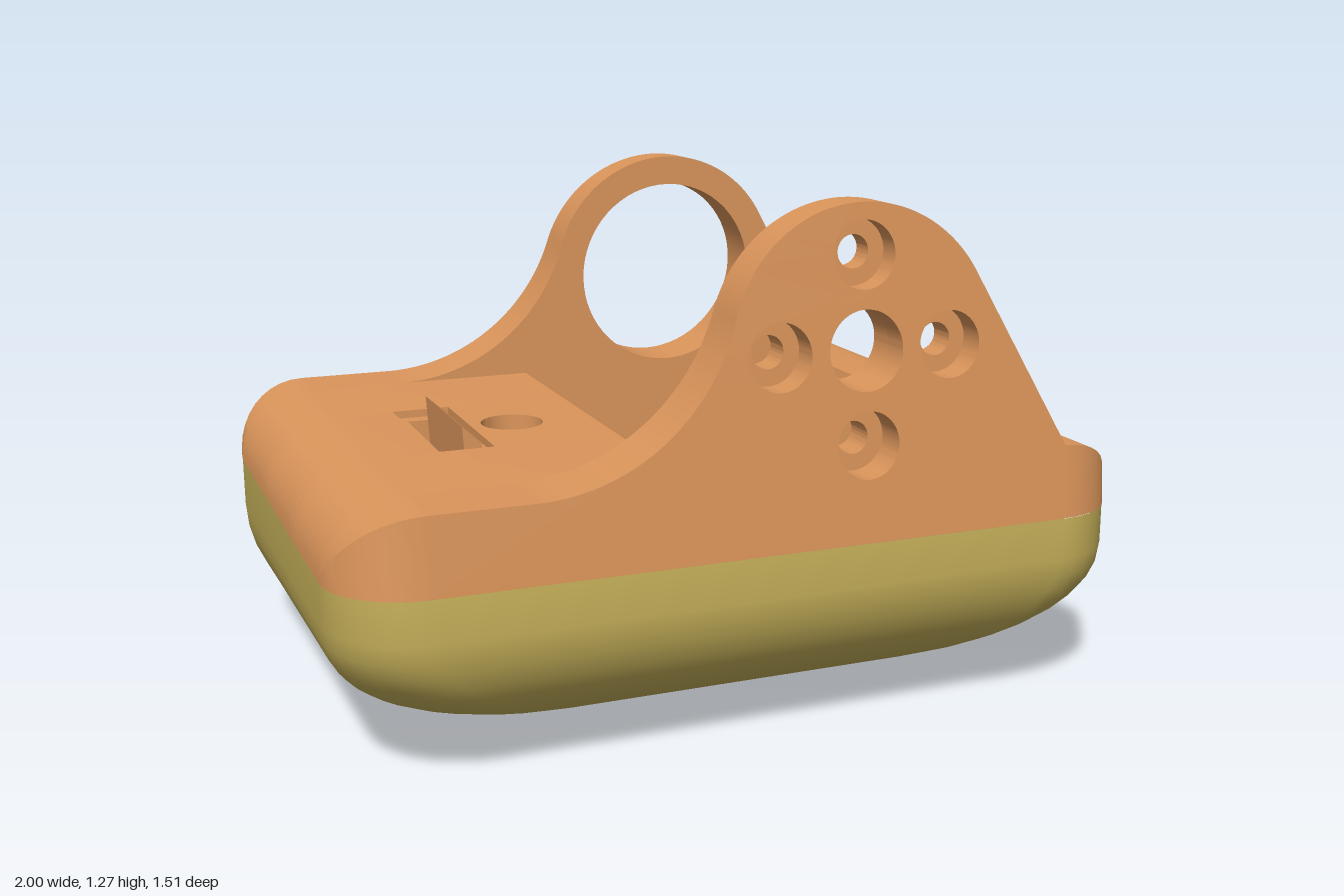
import * as THREE from 'three';
import { toCreasedNormals } from 'three/addons/utils/BufferGeometryUtils.js';

const SEAM = 0.48, TOP = 0.66, INNER = 0.55;   // seam height, deck height, inner face of brackets
const HUB = [0.26, 0.93];                      // centre of the bracket holes

export function createModel() {
  const model = new THREE.Group();
  const orange = new THREE.MeshStandardMaterial({ color: 0xdb955b });
  orange.name = 'orange';
  const olive = new THREE.MeshStandardMaterial({ color: 0xc2ad58 });
  olive.name = 'olive';

  const add = (name, geo, mat = orange, crease = 0.6) => {
    const mesh = new THREE.Mesh(toCreasedNormals(geo, crease), mat);
    mesh.name = name;
    model.add(mesh);
    return mesh;
  };

  // Surface through rows of points
  const loft = (rows, flip = false) => {
    const n = rows[0].length, idx = [];
    for (let i = 0; i < rows.length - 1; i++) for (let j = 0; j < n - 1; j++) {
      const a = i * n + j, b = a + n;
      if (flip) idx.push(a, b + 1, b, a, a + 1, b + 1);
      else idx.push(a, b, b + 1, a, b + 1, a + 1);
    }
    const geo = new THREE.BufferGeometry();
    geo.setAttribute('position', new THREE.Float32BufferAttribute(rows.flat(2), 3));
    geo.setIndex(idx);
    return geo;
  };

  // Side profile (x, y) extruded along z
  const slab = (pts, z0, z1) => {
    const shape = new THREE.Shape(pts.map(p => new THREE.Vector2(...p)));
    return new THREE.ExtrudeGeometry(shape, { depth: z1 - z0, bevelEnabled: false }).translate(0, 0, z0);
  };

  // Lower shell: rounded rectangles stacked upward, with a tilted underside
  const ring = (h, hx, hz, r) => {
    const pts = [];
    for (let k = 0; k < 4; k++) for (let s = 0; s <= 8; s++) {
      const a = (k + s / 8) * Math.PI / 2;
      const sx = k === 0 || k === 3 ? 1 : -1, sz = k < 2 ? 1 : -1;
      const x = sx * (hx - r) + r * Math.cos(a), z = sz * (hz - r) + r * Math.sin(a);
      pts.push([x, h + (0.045 + 0.09 * z) * (1 - h / SEAM), z]);
    }
    pts.push(pts[0]);
    return pts;
  };
  const levels = [ring(0, 0, 0, 0)];
  for (let i = 0; i <= 10; i++) {
    const t = i / 10 * Math.PI / 2, s = Math.sin(t);
    levels.push(ring(0.35 * (1 - Math.cos(t)), 0.6 + 0.4 * s, 0.5 + 0.257 * s, 0.32 - 0.1 * s));
  }
  levels.push(ring(SEAM, 1, 0.742, 0.2));
  add('lowerShell', loft(levels), olive, 1.0);

  // Upper deck: profile with rounded ends and a central pocket, cut into slices for the slots
  const arc = (sx, from) => {
    const pts = [];
    for (let i = 0; i <= 10; i++) {
      const t = from + (Math.PI / 2 - from) * i / 10;
      pts.push([sx * (0.8 + 0.2 * Math.sin(t)), SEAM + 0.18 * Math.cos(t)]);
    }
    return pts;
  };
  const pocket = [[-0.18, TOP], [-0.11, 0.42], [0.62, 0.42], [0.69, TOP]];
  const leftRecess = [[-0.65, TOP], [-0.65, 0.64], [-0.5, 0.64], [-0.5, TOP]];
  const leftSlot = [[-0.65, TOP], [-0.65, 0.64], [-0.62, 0.64], [-0.62, 0.55], [-0.52, 0.55], [-0.52, 0.64], [-0.5, 0.64], [-0.5, TOP]];
  const screwWell = [[-0.49, TOP], [-0.49, 0.54], [-0.29, 0.54], [-0.29, TOP]];
  const rightRecess = [[0.75, TOP], [0.75, 0.64]];
  const rightSlot = [[0.75, TOP], [0.75, 0.64], [0.76, 0.64], [0.76, 0.55], [0.86, 0.55], [0.86, 0.64]];
  const deck = (cuts, from) => [
    [-0.9, 0.38], ...arc(-1, 0).reverse(), ...cuts, ...arc(1, from), [0.9, 0.38]];
  const edge = Math.asin(0.45);
  const plain = deck(pocket, 0);
  const shallow = deck([...leftRecess, ...pocket, ...rightRecess], edge);
  const deep = deck([...leftSlot, ...screwWell, ...pocket, ...rightSlot], edge);
  add('deckMiddle', slab(deep, -0.18, 0.18));
  add('deckFrontRecess', slab(shallow, 0.18, 0.22));
  add('deckBackRecess', slab(shallow, -0.22, -0.18));
  add('deckFront', slab(plain, 0.22, INNER));
  add('deckBack', slab(plain, -INNER, -0.22));

  // Countersunk screw hole in the deck
  for (const [r, y0, y1] of [[0.08, 0.61, TOP], [0.04, 0.54, 0.61]]) {
    const s = new THREE.Shape([[-0.1, -0.18], [0.1, -0.18], [0.1, 0.18], [-0.1, 0.18]].map(p => new THREE.Vector2(...p)));
    s.holes.push(new THREE.Path().absarc(0, 0, r, 0, Math.PI * 2, true));
    const geo = new THREE.ExtrudeGeometry(s, { depth: y1 - y0, bevelEnabled: false, curveSegments: 24 });
    add('screwHole', geo.rotateX(-Math.PI / 2).translate(-0.39, y0, 0));
  }

  // Clip hooks standing in the slots
  add('leftClip', slab([[-0.56, 0.55], [-0.535, 0.55], [-0.52, 0.66], [-0.57, 0.705]], -0.18, 0.18));
  add('rightClip', slab([[0.8, 0.55], [0.825, 0.55], [0.815, 0.705], [0.79, 0.66]], -0.18, 0.18));

  // Brackets: upright plates whose outer faces lean inward
  const outerZ = y => 0.74 - (y - SEAM) * 0.112;
  const bracket = (holes, t0, t1) => {
    const s = new THREE.Shape();
    s.moveTo(-0.8, SEAM);
    s.lineTo(0.8, SEAM);
    s.lineTo(0.8, TOP);
    s.absarc(...HUB, 0.34, 0.51, 2.862, false);
    s.absarc(-0.55, 1.163, 0.503, -0.28, -Math.PI / 2, true);
    s.lineTo(-0.8, TOP);
    for (const [dx, dy, r] of holes)
      s.holes.push(new THREE.Path().absarc(HUB[0] + dx, HUB[1] + dy, r, 0, Math.PI * 2, true));
    const geo = new THREE.ExtrudeGeometry(s, { depth: 1, bevelEnabled: false, curveSegments: 32 });
    const p = geo.attributes.position;
    for (let i = 0; i < p.count; i++) {
      const t = t0 + (t1 - t0) * p.getZ(i);
      p.setZ(i, INNER + (outerZ(p.getY(i)) - INNER) * t);
    }
    return geo;
  };
  const around = r => [[0, 0, 0.095], ...[[0.22, 0], [-0.22, 0], [0, 0.22], [0, -0.22]].map(d => [...d, r])];
  add('frontBracketInner', bracket(around(0.04), 0, 0.5));
  add('frontBracketOuter', bracket(around(0.08), 0.5, 1));

  // Back bracket: the same plate with one large opening, reflected in z
  const back = bracket([[0, 0, 0.26]], 0, 1);
  const bp = back.attributes.position;
  for (let i = 0; i < bp.count; i += 3) {
    const v = [0, 2, 1].map(k => [bp.getX(i + k), bp.getY(i + k), -bp.getZ(i + k)]);
    v.forEach((q, k) => bp.setXYZ(i + k, ...q));
  }
  add('backBracket', back);

  // Rounded corners beside the brackets, and the pocket's end walls
  for (const sz of [1, -1]) {
    for (const sx of [1, -1]) {
      const rows = [];
      for (let i = 0; i <= 10; i++) {
        const t = i / 10 * Math.PI / 2, c = Math.cos(t);
        const x = sx * (0.8 + 0.2 * Math.sin(t)), y = SEAM + 0.18 * c, cut = 0.19 * (1 - c);
        rows.push([[x, SEAM, sz * (outerZ(SEAM) - cut)],
          [x, y, sz * Math.max(INNER, outerZ(y) - cut)], [x, y, sz * INNER]]);
      }
      add('deckCorner', loft(rows, sx * sz < 0));
    }
    add('pocketEndWall', new THREE.BoxGeometry(0.87, 0.11, 0.02).translate(0.255, 0.435, sz * (INNER + 0.01)));
  }

  return model;
}
